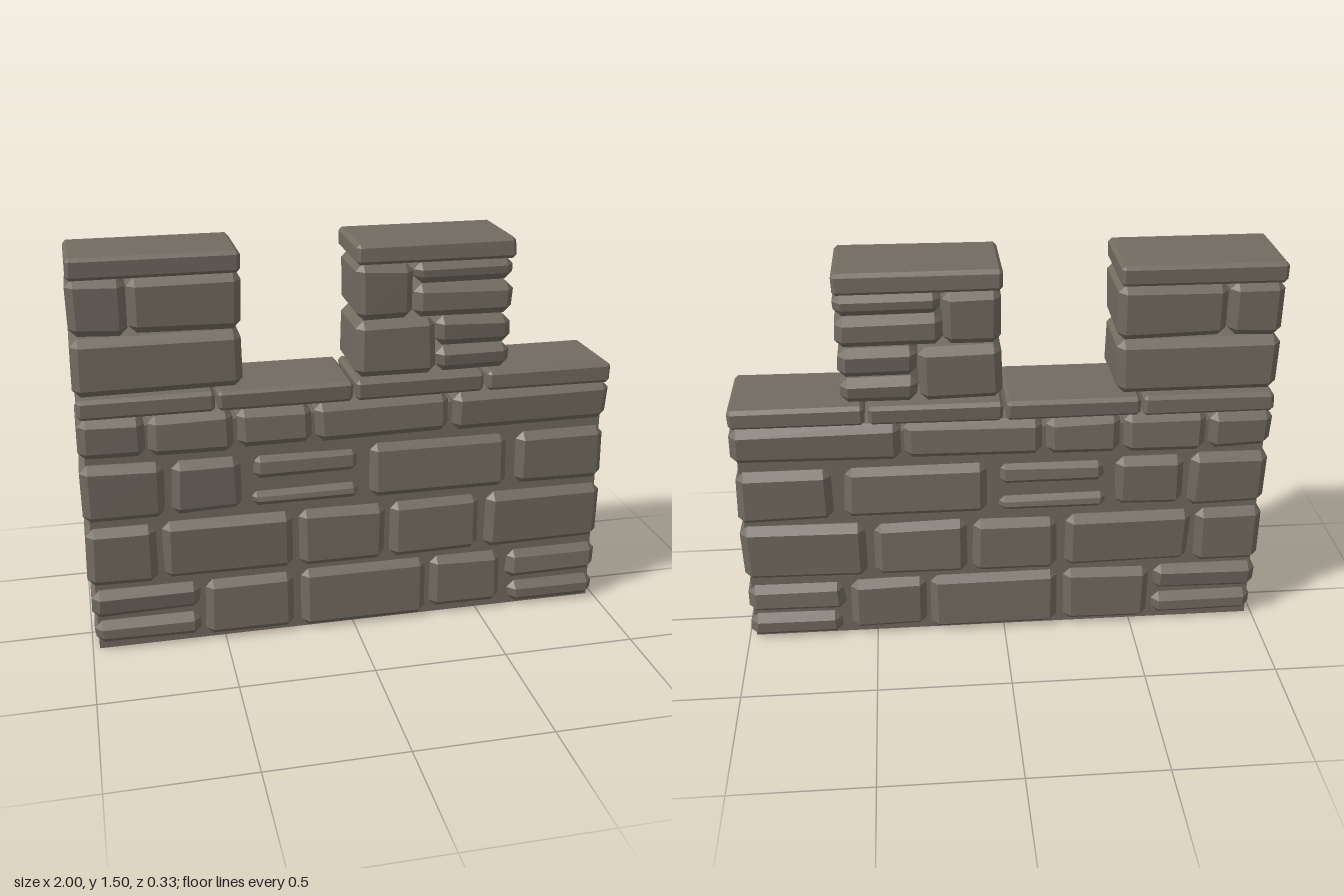
import * as THREE from 'three';
import { ConvexGeometry } from 'three/addons/geometries/ConvexGeometry.js';

const stoneMat = new THREE.MeshStandardMaterial({ color: 0x716b60 });
stoneMat.name = 'grey brown stone';

// Small seeded generator for the hewn irregularity, returns -1..1
let seed = 7;
const rnd = () => {
  seed = (seed * 16807) % 2147483647;
  return (seed / 2147483647) * 2 - 1;
};

// Chamfered block spanning x0..x1, y0..y1 and the wall depth, with slightly uneven corners
function block(name, [x0, x1, y0, y1], { bevel = 0.028, jitter = 0.008, depth = 0.157 } = {}) {
  const b = Math.min(bevel, (y1 - y0) * 0.3);
  const c = b * 1.1;
  const cx = (x0 + x1) / 2, cy = (y0 + y1) / 2;
  const hx = (x1 - x0) / 2, hy = (y1 - y0) / 2;
  const tiltX = rnd() * jitter * 0.4, tiltY = rnd() * jitter * 0.6;
  const points = [];
  for (const sz of [-1, 1]) {
    for (const sx of [-1, 1]) {
      for (const sy of [-1, 1]) {
        const w = hx - Math.abs(rnd()) * jitter;
        const h = hy - Math.abs(rnd()) * jitter;
        const d = depth + tiltX * sx + tiltY * sy;
        for (const [px, py, pz] of [[w, h - b, d - c], [w - b, h, d - c], [w - b, h - b, d]])
          points.push(new THREE.Vector3(cx + sx * px, cy + sy * py, sz * pz));
      }
    }
  }
  const mesh = new THREE.Mesh(new ConvexGeometry(points), stoneMat);
  mesh.name = name;
  return mesh;
}

function course(name, stones, options) {
  const group = new THREE.Group();
  group.name = name;
  stones.forEach((s, i) => group.add(block(`${name}Stone${i + 1}`, s, options)));
  return group;
}

export function createModel() {
  seed = 7;
  const model = new THREE.Group();
  model.name = 'battlementWall';

  // Mortar core filling the gaps between the stones
  const core = new THREE.Mesh(new THREE.BoxGeometry(1.95, 0.88, 0.25), stoneMat);
  core.name = 'mortarCore';
  core.position.y = 0.44;
  model.add(core);

  // Wall courses from the ground up: [x0, x1, y0, y1]
  model.add(course('bottomCourse', [
    [-0.995, -0.585, 0.13, 0.25], [-0.99, -0.585, 0.02, 0.12], [-0.575, -0.23, 0.01, 0.25],
    [-0.21, 0.29, 0.005, 0.25], [0.3, 0.6, 0.02, 0.247], [0.615, 0.995, 0.115, 0.243],
    [0.63, 0.995, 0, 0.105],
  ]));
  model.add(course('secondCourse', [
    [-1, -0.735, 0.258, 0.503], [-0.725, -0.23, 0.265, 0.5], [-0.21, 0.125, 0.258, 0.498],
    [0.14, 0.5, 0.265, 0.498], [0.52, 1, 0.258, 0.503],
  ]));
  model.add(course('thirdCourse', [
    [-1, -0.695, 0.515, 0.747], [-0.68, -0.415, 0.525, 0.743], [0.06, 0.6, 0.525, 0.743],
    [0.635, 0.995, 0.518, 0.743],
  ]));
  model.add(course('thirdCourseThin', [
    [-0.385, 0.025, 0.635, 0.74], [-0.39, 0.025, 0.525, 0.6],
  ], { depth: 0.148 }));
  model.add(course('fourthCourse', [
    [-1, -0.757, 0.763, 0.922], [-0.755, -0.44, 0.76, 0.922], [-0.435, -0.15, 0.765, 0.922],
    [-0.147, 0.37, 0.765, 0.922], [0.375, 1, 0.765, 0.922],
  ]));

  // Flat coping slabs on the wall and on both merlons
  model.add(course('coping', [
    [-0.992, -0.505, 0.92, 1], [-0.5, -0.004, 0.92, 1], [0.004, 0.493, 0.92, 1],
    [0.503, 0.992, 0.92, 1], [-0.992, -0.402, 1.42, 1.5], [0.004, 0.594, 1.42, 1.5],
  ], { bevel: 0.013, jitter: 0.004, depth: 0.162 }));

  // Merlon of three large blocks
  model.add(course('blockMerlon', [
    [-1, -0.402, 1, 1.217], [-1, -0.79, 1.213, 1.424], [-0.794, -0.398, 1.213, 1.424],
  ], { depth: 0.153 }));

  // Merlon of two blocks and stacked thin stones
  model.add(course('stackedMerlon', [
    [0.004, 0.31, 1, 1.217], [0.305, 0.594, 1.1, 1.217], [0.305, 0.594, 1, 1.105],
    [0.004, 0.222, 1.213, 1.424], [0.218, 0.597, 1.332, 1.424], [0.215, 0.597, 1.213, 1.338],
  ], { depth: 0.153 }));

  return model;
}
